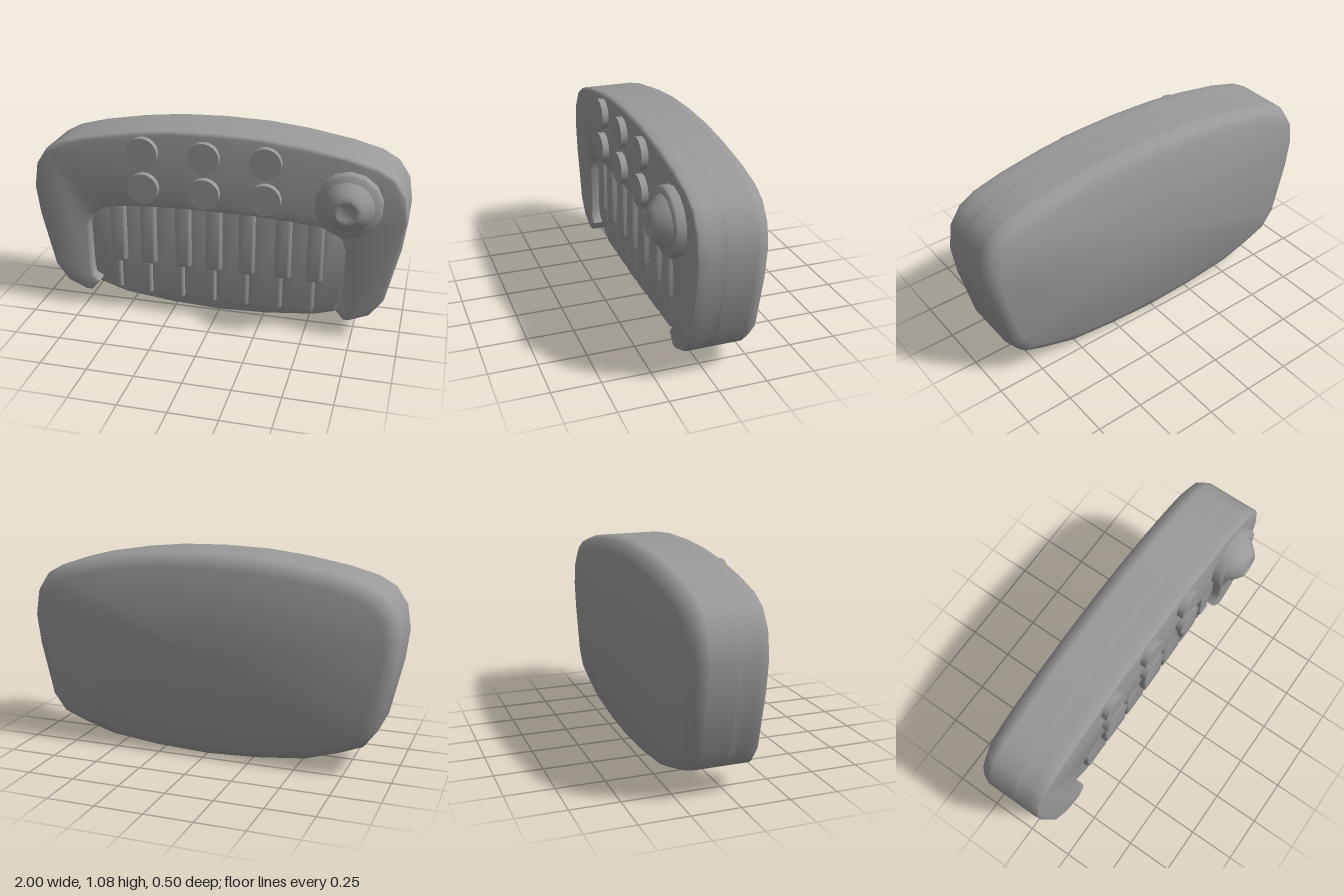
import * as THREE from 'three';
import { toCreasedNormals } from 'three/addons/utils/BufferGeometryUtils.js';

const material = new THREE.MeshStandardMaterial({ color: 0x999999 });

// Half outline of the case, from bottom centre round to top centre
const half = [[0, 0], [0.27, 0.012], [0.54, 0.042], [0.72, 0.098], [0.84, 0.145], [0.91, 0.24],
  [0.98, 0.54], [1, 0.7], [0.98, 0.83], [0.92, 0.92], [0.83, 0.97], [0.68, 1.01], [0.45, 1.05], [0.24, 1.073], [0, 1.08]];
// Half outline of the key recess, from the open bottom up to top centre
const recess = [[0.705, 0.1], [0.655, 0.16], [0.688, 0.195], [0.695, 0.25], [0.7, 0.5], [0.68, 0.56],
  [0.64, 0.595], [0.57, 0.62], [0.4, 0.637], [0.2, 0.646], [0, 0.648]];

const mirror = (pts) => pts.filter(([x]) => x > 0).reverse().map(([x, y]) => [-x, y]);
const shapeOf = (pts) => new THREE.Shape(pts.map(([x, y]) => new THREE.Vector2(x, y)));

function add(group, name, geometry, x = 0, y = 0, z = 0) {
  const mesh = new THREE.Mesh(geometry, material);
  mesh.name = name;
  mesh.position.set(x, y, z);
  group.add(mesh);
}

// Extrusion from a flat back at z0 to a rounded front edge at z1
function slab(pts, z0, z1, bevel) {
  const geo = new THREE.ExtrudeGeometry(shapeOf(pts), {
    depth: z1 - z0 - bevel, steps: 3, bevelThickness: bevel, bevelSize: bevel,
    bevelOffset: -bevel, bevelSegments: 2,
  });
  const p = geo.attributes.position;
  for (let i = 0; i < p.count; i++) p.setZ(i, Math.max(p.getZ(i), 0) + z0);
  return toCreasedNormals(geo, 0.8);
}

// Closed loft through [z, inset] rings of a convex outline
function loft(outline, rings, cy) {
  const n = outline.length, pos = [], idx = [];
  for (const [z, inset] of rings) {
    for (const [x, y] of outline) pos.push(x * (1 - inset), cy + (y - cy) * (1 - inset / 0.54), z);
  }
  const last = (rings.length - 1) * n, back = rings.length * n;
  pos.push(0, cy, rings[0][0], 0, cy, rings[rings.length - 1][0]);
  for (let j = 0; j < n; j++) {
    const k = (j + 1) % n;
    for (let i = 0; i < last; i += n) idx.push(i + j, i + k, i + n + k, i + j, i + n + k, i + n + j);
    idx.push(back, k, j, back + 1, last + j, last + k);
  }
  const geo = new THREE.BufferGeometry();
  geo.setAttribute('position', new THREE.Float32BufferAttribute(pos, 3));
  geo.setIndex(idx);
  return toCreasedNormals(geo, 0.9);
}

function lathe(profile, segments, crease) {
  const geo = new THREE.LatheGeometry(profile.map(([r, z]) => new THREE.Vector2(r, z)), segments);
  return toCreasedNormals(geo.rotateX(Math.PI / 2), crease);
}

export function createModel() {
  const model = new THREE.Group();
  model.name = 'toyKeyboard';

  // Back shell, with a wide soft bevel at the rear
  add(model, 'backShell', loft([...half, ...mirror(half)],
    [[-0.25, 0.068], [-0.225, 0.02], [-0.18, 0], [-0.165, 0], [-0.025, 0], [-0.016, 0], [-0.005, 0.005], [0, 0.016]], 0.54));

  // Front frame arching over the keys, open at the bottom
  const outer = half.slice(4);
  const arch = [[0.735, 0.1], ...outer, ...mirror(outer), [-0.735, 0.1],
    ...recess.map(([x, y]) => [-x, y]), ...recess.slice(0, -1).reverse()];
  add(model, 'frontFrame', slab(arch, -0.016, 0.125, 0.016));

  // White keys, the outer pair cut to the curve of the recess
  const keys = new THREE.Group();
  keys.name = 'keys';
  model.add(keys);
  const edges = [0, 0.18, 0.365, 0.54];
  for (const s of [-1, 1]) {
    for (let i = 0; i < 3; i++) {
      const a = edges[i] + 0.003, b = edges[i + 1] - 0.003, y = 0.08 + i * 0.004;
      const pts = [[a, y + 0.012], [a + 0.015, y], [b - 0.015, y + 0.002], [b, y + 0.017], [b, 0.665], [a, 0.665]];
      add(keys, 'whiteKey', slab(pts.map(([x, v]) => [s * x, v]), -0.01, 0.07, 0.01));
    }
    const end = [[0.543, 0.115], [0.56, 0.103], [0.61, 0.128], [0.66, 0.175], [0.715, 0.2], [0.715, 0.54], [0.65, 0.62], [0.543, 0.65]];
    add(keys, 'endKey', slab(end.map(([x, v]) => [s * x, v]), -0.01, 0.07, 0.01));
  }

  // Black keys
  for (const x of [-0.54, -0.37, -0.175, -0.005, 0.175, 0.37, 0.54]) {
    const w = 0.042, top = Math.abs(x) > 0.5 ? 0.64 : 0.665;
    const pts = [[x - w, 0.305], [x - w + 0.01, 0.295], [x + w - 0.01, 0.295], [x + w, 0.305], [x + w, top], [x - w, top]];
    add(keys, 'blackKey', slab(pts, 0, 0.108, 0.013));
  }

  // Two rows of push buttons
  for (const x of [-0.373, -0.045, 0.277]) {
    for (const y of [0.953, 0.757]) {
      add(model, 'button', new THREE.CylinderGeometry(0.083, 0.083, 0.06, 28).rotateX(Math.PI / 2), x, y, 0.13);
    }
  }

  // Dial: faceted base and a dimpled knob
  add(model, 'dialBase', lathe([[0.172, 0.1], [0.172, 0.166], [0.165, 0.176], [0, 0.176]], 14, 1.2), 0.705, 0.773);
  add(model, 'dialKnob', lathe([[0.135, 0.17], [0.13, 0.18], [0.107, 0.207], [0.085, 0.23], [0.062, 0.249],
    [0.052, 0.249], [0.04, 0.242], [0, 0.24]], 24, 1.2), 0.705, 0.773);

  return model;
}
